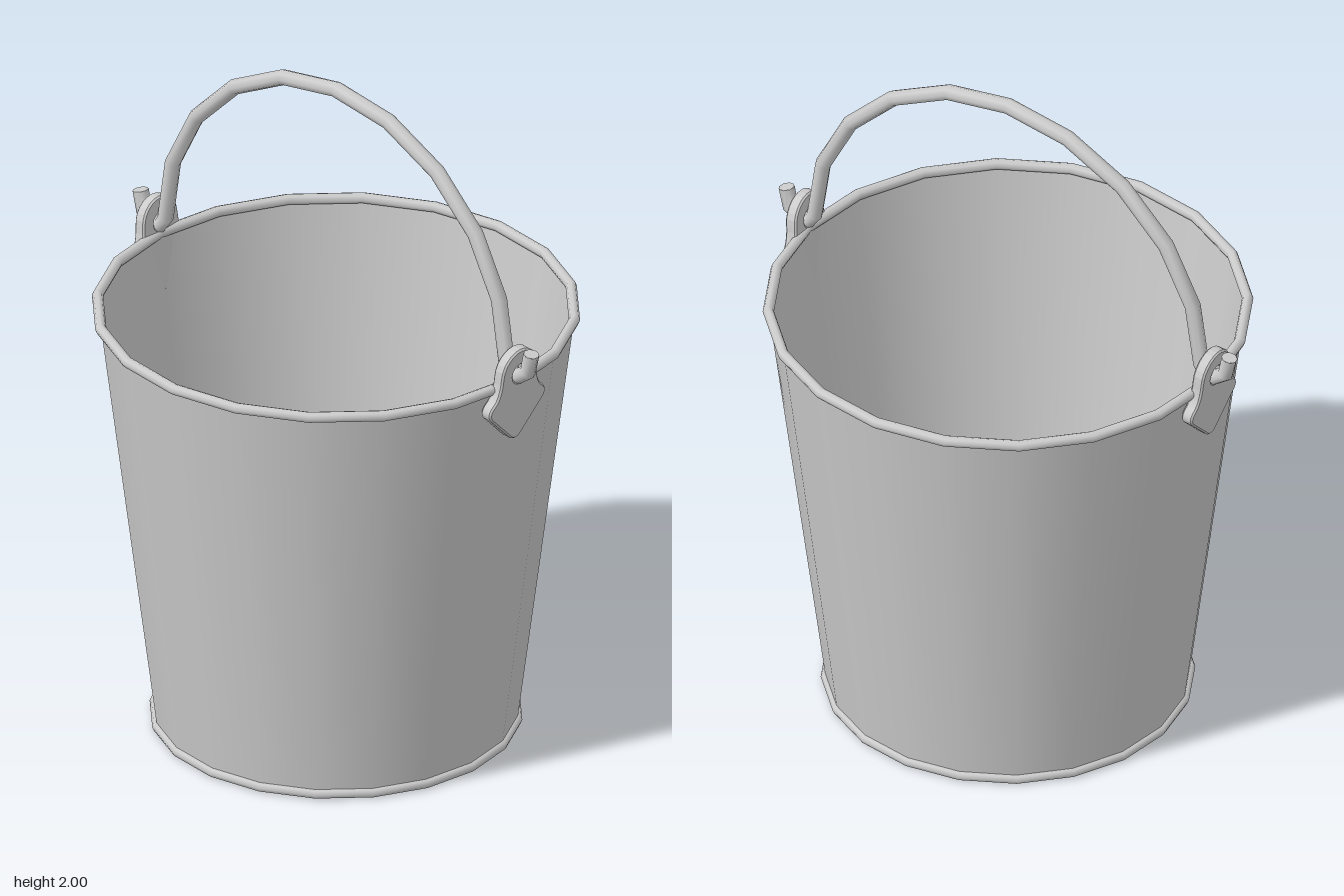
import * as THREE from 'three';

const SIDES = 20;

export function createModel() {
  const model = new THREE.Group();
  const material = new THREE.MeshStandardMaterial({ color: 0xcccccc });
  const add = (parent, name, geometry) => {
    const mesh = new THREE.Mesh(geometry, material);
    mesh.name = name;
    parent.add(mesh);
    return mesh;
  };

  // Thin tapered wall: separate outer and inner skins keep the edges crisp
  const skin = (name, points) => add(model, name,
    new THREE.LatheGeometry(points.map(([r, y]) => new THREE.Vector2(r, y)), SIDES));
  skin('outerWall', [[0.512, 0.014], [0.672, 1.285]]);
  skin('innerWall', [[0.669, 1.285], [0.509, 0.014]]);

  // Floor, set slightly above the bottom edge and seen from both sides
  const floorTop = add(model, 'floorTop', new THREE.CircleGeometry(0.513, SIDES));
  floorTop.rotation.x = -Math.PI / 2;
  floorTop.position.y = 0.041;
  const floorBottom = add(model, 'floorBottom', new THREE.CircleGeometry(0.513, SIDES));
  floorBottom.rotation.x = Math.PI / 2;
  floorBottom.position.y = 0.037;

  // Rolled wire edges at top and bottom
  const ring = (name, radius, tube, y) => {
    const mesh = add(model, name, new THREE.TorusGeometry(radius, tube, 8, SIDES));
    mesh.rotation.x = Math.PI / 2;
    mesh.position.y = y;
  };
  ring('topRim', 0.673, 0.016, 1.287);
  ring('bottomRim', 0.511, 0.015, 0.015);

  // Handle: faceted arc whose ends pass through the ears and hook upwards
  const half = [
    [0.2, 1.945], [0.385, 1.85], [0.53, 1.705], [0.62, 1.53], [0.648, 1.345],
    [0.668, 1.315], [0.695, 1.315], [0.73, 1.34], [0.743, 1.4],
  ];
  const path = [
    ...half.map(([x, y]) => new THREE.Vector3(-x, y, 0)).reverse(),
    new THREE.Vector3(0, 1.977, 0),
    ...half.map(([x, y]) => new THREE.Vector3(x, y, 0)),
  ];
  const curve = new THREE.CatmullRomCurve3(path);
  // Put one tube ring on each path point
  curve.getPointAt = curve.getPoint;
  curve.getTangentAt = curve.getTangent;
  const handle = new THREE.Group();
  handle.name = 'handle';
  model.add(handle);
  add(handle, 'handleBar', new THREE.TubeGeometry(curve, path.length - 1, 0.023, 8, false));
  for (const t of [0, 1]) {
    const cap = add(handle, 'handleEnd', new THREE.CircleGeometry(0.023, 8));
    const outward = curve.getTangent(t).multiplyScalar(t ? 1 : -1);
    cap.position.copy(curve.getPoint(t));
    cap.quaternion.setFromUnitVectors(new THREE.Vector3(0, 0, 1), outward);
  }

  // Ear outline: a rounded diamond below a round eye, centred on the eye
  const ear = new THREE.Shape();
  ear.moveTo(0.015, -0.201);
  ear.lineTo(0.104, -0.112);
  ear.quadraticCurveTo(0.118, -0.094, 0.1, -0.078);
  ear.quadraticCurveTo(0.07, -0.06, 0.067, 0.005);
  ear.absarc(0, 0.005, 0.067, 0, Math.PI, false);
  ear.quadraticCurveTo(-0.07, -0.06, -0.1, -0.078);
  ear.quadraticCurveTo(-0.118, -0.094, -0.104, -0.112);
  ear.lineTo(-0.015, -0.201);
  ear.quadraticCurveTo(0, -0.211, 0.015, -0.201);
  const eye = new THREE.Path();
  eye.absarc(0, 0, 0.033, 0, Math.PI * 2, true);
  ear.holes.push(eye);
  const earGeometry = new THREE.ExtrudeGeometry(ear, {
    depth: 0.026, curveSegments: 6,
    bevelEnabled: true, bevelThickness: 0.005, bevelSize: 0.005, bevelSegments: 1,
  });
  earGeometry.translate(0, 0, -0.013);

  // One ear on each side, leaning with the wall
  for (const side of [1, -1]) {
    const mount = new THREE.Group();
    mount.name = side > 0 ? 'leftEar' : 'rightEar';
    mount.position.set(side * 0.682, 1.325, 0);
    mount.rotation.y = side * Math.PI / 2;
    const plate = add(mount, 'earPlate', earGeometry);
    plate.rotation.x = 0.08;
    model.add(mount);
  }

  return model;
}
